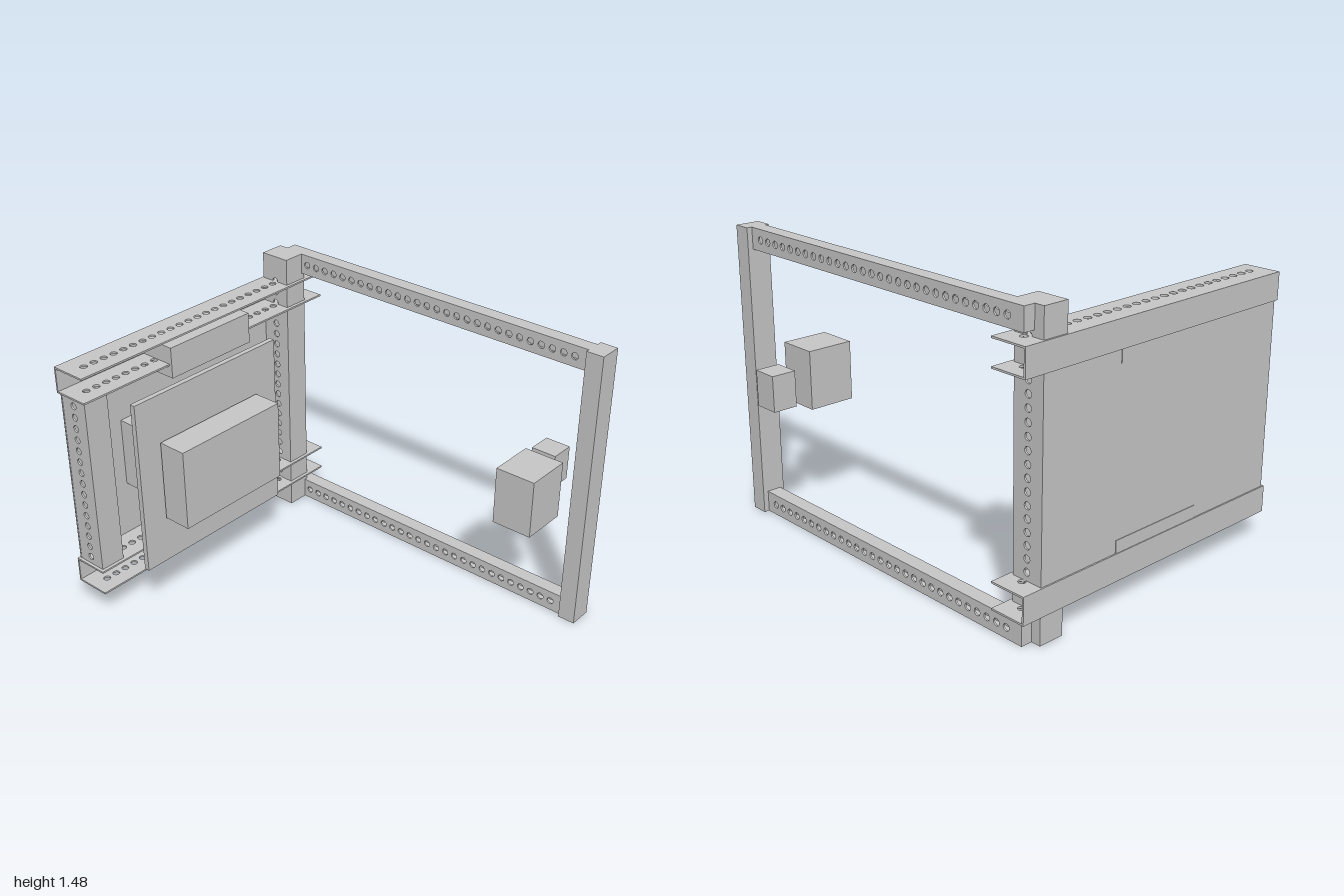
import * as THREE from 'three';

const steel = new THREE.MeshStandardMaterial({ color: 0xc8c8c8 });
steel.name = 'steel grey';

const WALL = 0.009, HOLE = 0.018;
const row = (start, step, count) => Array.from({ length: count }, (_, i) => start + step * i);

function add(parent, name, geometry) {
  const mesh = new THREE.Mesh(geometry, steel);
  mesh.name = name;
  parent.add(mesh);
  return mesh;
}

// Box given by its limits on each axis
function block(parent, name, [x0, x1], [y0, y1], [z0, z1]) {
  const mesh = add(parent, name, new THREE.BoxGeometry(x1 - x0, y1 - y0, z1 - z0));
  mesh.position.set((x0 + x1) / 2, (y0 + y1) / 2, (z0 + z1) / 2);
}

// Thin strip: width on x, length on y, with a row of round holes along its length
function perforatedStrip(width, length, holes, offset = 0) {
  const shape = new THREE.Shape();
  shape.moveTo(-width / 2, -length / 2);
  shape.lineTo(width / 2, -length / 2);
  shape.lineTo(width / 2, length / 2);
  shape.lineTo(-width / 2, length / 2);
  shape.closePath();
  for (const y of holes) {
    const hole = new THREE.Path();
    hole.absarc(offset, y, HOLE, 0, Math.PI * 2, true);
    shape.holes.push(hole);
  }
  return new THREE.ExtrudeGeometry(shape, { depth: WALL, bevelEnabled: false, curveSegments: 8 })
    .translate(0, 0, -WALL / 2);
}

// Hollow upright tube, perforated on its two x sides
function tube(name, width, length, depth, holes, capped) {
  const group = new THREE.Group();
  group.name = name;
  const w = width / 2, l = length / 2, d = depth / 2;
  for (const s of [-1, 1]) {
    const side = add(group, 'perforatedWall', perforatedStrip(depth, length, holes).rotateY(Math.PI / 2));
    side.position.x = s * (w - WALL / 2);
    const wall = add(group, 'plainWall', new THREE.BoxGeometry(width - 2 * WALL, length, WALL));
    wall.position.z = s * (d - WALL / 2);
    if (capped) {
      const cap = add(group, 'endCap', new THREE.BoxGeometry(width - 2 * WALL, WALL, depth - 2 * WALL));
      cap.position.y = s * (l - WALL / 2);
    }
  }
  return group;
}

// Channel lying along x, open to the front, with perforated flanges
function channel(name, y0, y1) {
  const group = new THREE.Group();
  group.name = name;
  const x0 = -0.856, x1 = 0.776, z0 = -1, z1 = -0.808, mid = (x0 + x1) / 2;
  block(group, 'web', [x0, x1], [y0, y1], [z0, z0 + WALL]);
  const holes = row(-0.765 - mid, 0.0604, 25);
  for (const y of [y0 + WALL / 2, y1 - WALL / 2]) {
    const flange = add(group, 'flange', perforatedStrip(z1 - z0, x1 - x0, holes, -0.006)
      .rotateZ(-Math.PI / 2).rotateX(Math.PI / 2));
    flange.position.set(mid, y, (z0 + z1) / 2);
  }
  return group;
}

export function createModel() {
  const model = new THREE.Group();
  model.name = 'mountingFrame';

  // Side frame: front post, two long rails and the corner post
  block(model, 'frontPost', [0.631, 0.753], [0, 1.482], [0.91, 1]);
  for (const [name, y] of [['lowerRail', 0.054], ['upperRail', 1.428]]) {
    const rail = tube(name, 0.075, 1.85, 0.108, row(-0.832, 0.06036, 29), true);
    rail.rotation.x = Math.PI / 2;
    rail.position.set(0.6885, y, -0.015);
    model.add(rail);
  }
  const cornerPost = tube('cornerPost', 0.133, 1.482, 0.165, row(0.135 - 0.741, 0.0605, 21), true);
  cornerPost.position.set(0.6015, 0.741, -0.9085);
  model.add(cornerPost);

  // Back frame: channels, open side tube and back panel
  model.add(channel('lowerChannel', 0.14, 0.275), channel('upperChannel', 1.209, 1.344));
  const sideTube = tube('sideTube', 0.135, 0.934, 0.165, row(0.3165 - 0.742, 0.0605, 15), false);
  sideTube.position.set(-0.7725, 0.742, -0.9085);
  model.add(sideTube);
  block(model, 'backPanel', [-0.842, 0.668], [0.275, 1.209], [-0.993, -0.986]);

  // Equipment boxes on the back frame
  block(model, 'lowerBox', [-0.323, 0.212], [0.176, 0.338], [-0.996, -0.792]);
  block(model, 'upperBox', [-0.323, 0.212], [1.146, 1.308], [-0.996, -0.792]);
  block(model, 'rearBox', [-0.51, 0.198], [0.56, 0.923], [-0.988, -0.723]);
  block(model, 'mountingPlate', [-0.704, 0.23], [0.282, 1.202], [-0.666, -0.638]);
  block(model, 'frontBox', [-0.571, 0.082], [0.532, 0.955], [-0.63, -0.478]);

  // Lock boxes beside the front post
  block(model, 'innerLockBox', [0.365, 0.609], [0.593, 0.893], [0.652, 0.862]);
  block(model, 'outerLockBox', [0.725, 0.853], [0.651, 0.832], [0.615, 0.75]);

  return model;
}
